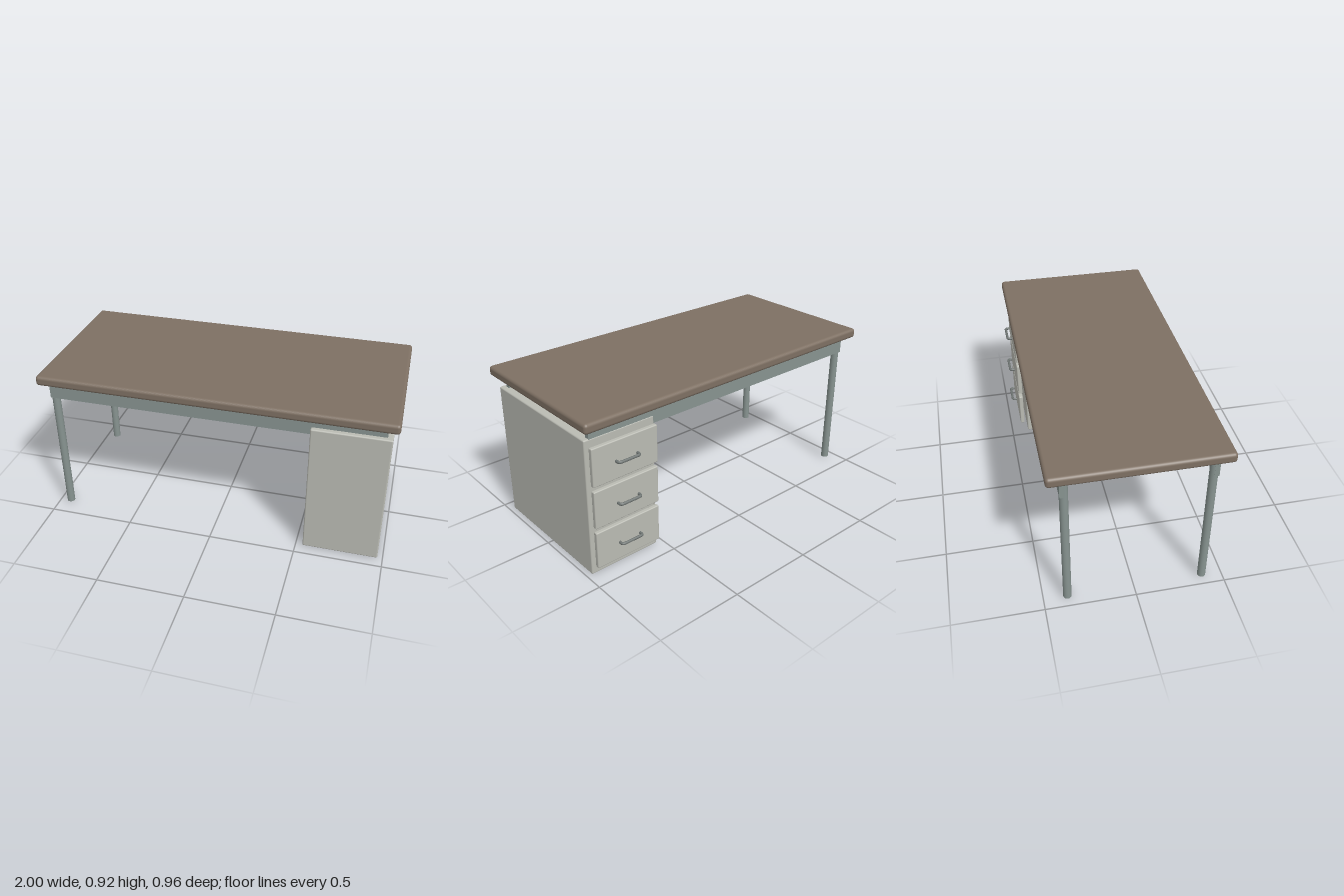
import * as THREE from 'three';
import { RoundedBoxGeometry } from 'three/addons/geometries/RoundedBoxGeometry.js';

const paint = (color) => new THREE.MeshStandardMaterial({ color });

export function createModel() {
  const desk = new THREE.Group();
  desk.name = 'desk';
  const wood = paint(0x7e7063);
  const panel = paint(0xbabbb3);
  const steel = paint(0x879390);
  const dark = paint(0x707674);

  const add = (name, geometry, material, x, y, z, parent = desk) => {
    const mesh = new THREE.Mesh(geometry, material);
    mesh.name = name;
    mesh.position.set(x, y, z);
    parent.add(mesh);
    return mesh;
  };

  // Table top with softened edges
  add('tableTop', new RoundedBoxGeometry(2, 0.057, 0.94, 3, 0.018), wood, 0, 0.8915, 0.009);

  // Long rails under the top, each flush with the outer side of its leg
  const rail = new THREE.BoxGeometry(1.897, 0.11, 0.026);
  add('frontRail', rail, steel, -0.0085, 0.81, 0.397);
  add('backRail', rail, steel, -0.0085, 0.81, -0.379);

  // Round legs on the open side
  const leg = new THREE.CylinderGeometry(0.023, 0.023, 0.853, 24);
  add('frontLeg', leg, steel, -0.934, 0.4315, 0.387);
  add('backLeg', leg, steel, -0.934, 0.4315, -0.369);

  // Drawer cabinet
  add('cabinet', new RoundedBoxGeometry(0.43, 0.8, 0.83, 2, 0.008), panel, 0.755, 0.4, 0.021);

  // Drawer fronts with bent bar handles
  const front = new RoundedBoxGeometry(0.405, 0.219, 0.026, 2, 0.006);
  const v = (x, z) => new THREE.Vector3(x, 0, z);
  const path = new THREE.CurvePath();
  path.add(new THREE.LineCurve3(v(-0.066, 0), v(-0.066, -0.01)));
  path.add(new THREE.QuadraticBezierCurve3(v(-0.066, -0.01), v(-0.066, -0.026), v(-0.05, -0.026)));
  path.add(new THREE.LineCurve3(v(-0.05, -0.026), v(0.05, -0.026)));
  path.add(new THREE.QuadraticBezierCurve3(v(0.05, -0.026), v(0.066, -0.026), v(0.066, -0.01)));
  path.add(new THREE.LineCurve3(v(0.066, -0.01), v(0.066, 0)));
  const bar = new THREE.TubeGeometry(path, 60, 0.008, 10);
  const cap = new THREE.CircleGeometry(0.008, 10);

  [0.6585, 0.4135, 0.1685].forEach((y, i) => {
    const drawer = new THREE.Group();
    drawer.name = `drawer${i + 1}`;
    drawer.position.set(0.755, y, 0);
    desk.add(drawer);
    add('drawerFront', front, panel, 0, 0, -0.425, drawer);
    add('handle', bar, dark, 0, 0, -0.445, drawer);
    for (const x of [-0.066, 0.066]) add('handleEnd', cap, dark, x, 0, -0.445, drawer);
  });

  return desk;
}
